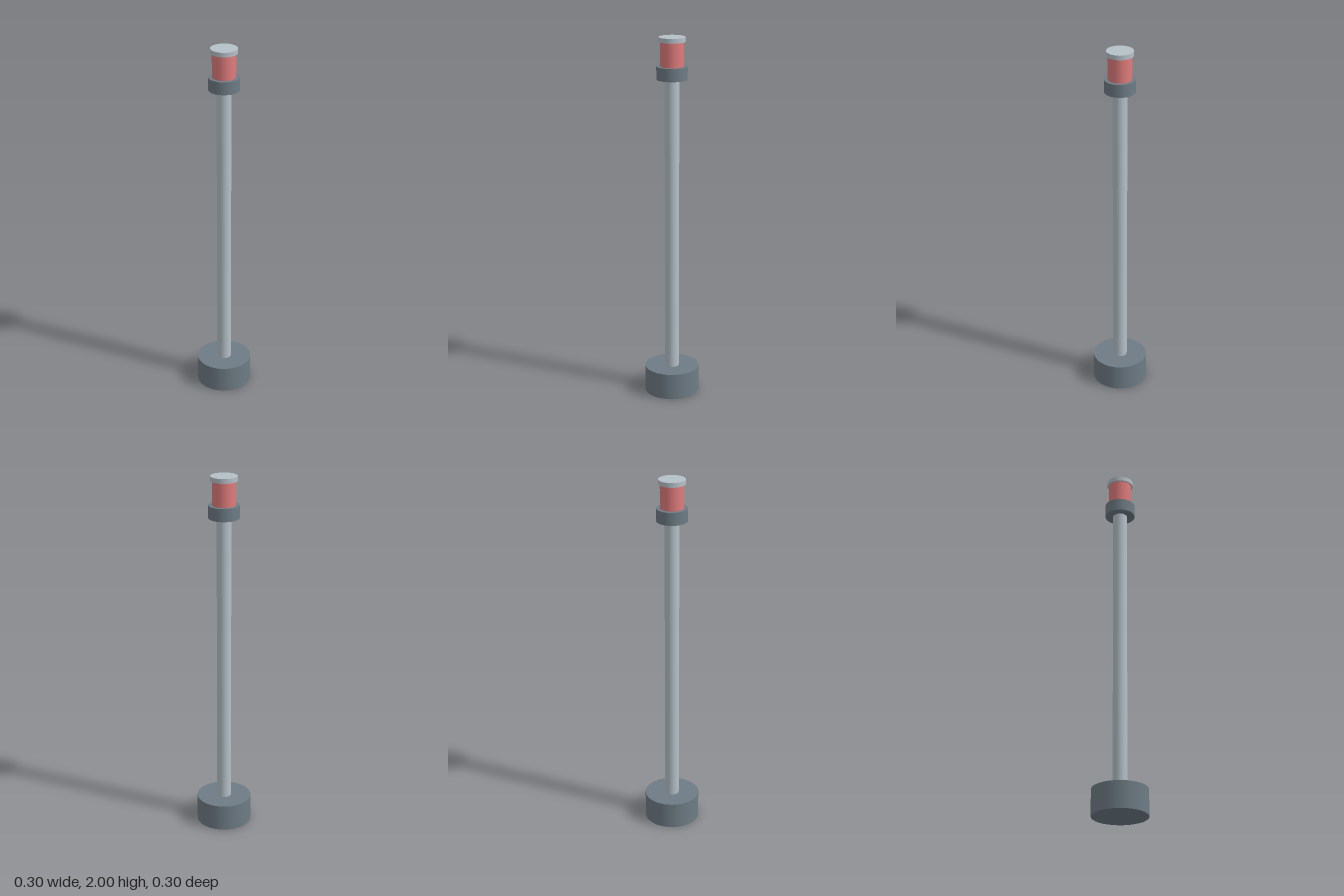
import * as THREE from 'three';

const paint = (name, color) => {
  const material = new THREE.MeshStandardMaterial({ color });
  material.name = name;
  return material;
};

export function createModel() {
  const darkGrey = paint('dark grey metal', 0x6e7c85);
  const lightGrey = paint('light grey metal', 0xb4c0c7);
  const red = paint('red lamp', 0xdf7b7b);

  const model = new THREE.Group();
  model.name = 'beaconPost';

  // Each part is an upright round section: name, radius, bottom, top, material
  const parts = [
    ['base', 0.151, 0, 0.147, darkGrey],
    ['pole', 0.039, 0.147, 1.775, lightGrey],
    ['collar', 0.083, 1.775, 1.845, darkGrey],
    ['lamp', 0.063, 1.845, 1.975, red],
    ['cap', 0.072, 1.975, 2, lightGrey],
  ];
  for (const [name, radius, bottom, top, material] of parts) {
    const geometry = new THREE.CylinderGeometry(radius, radius, top - bottom, 32);
    const mesh = new THREE.Mesh(geometry, material);
    mesh.name = name;
    mesh.position.y = (bottom + top) / 2;
    model.add(mesh);
  }
  return model;
}
